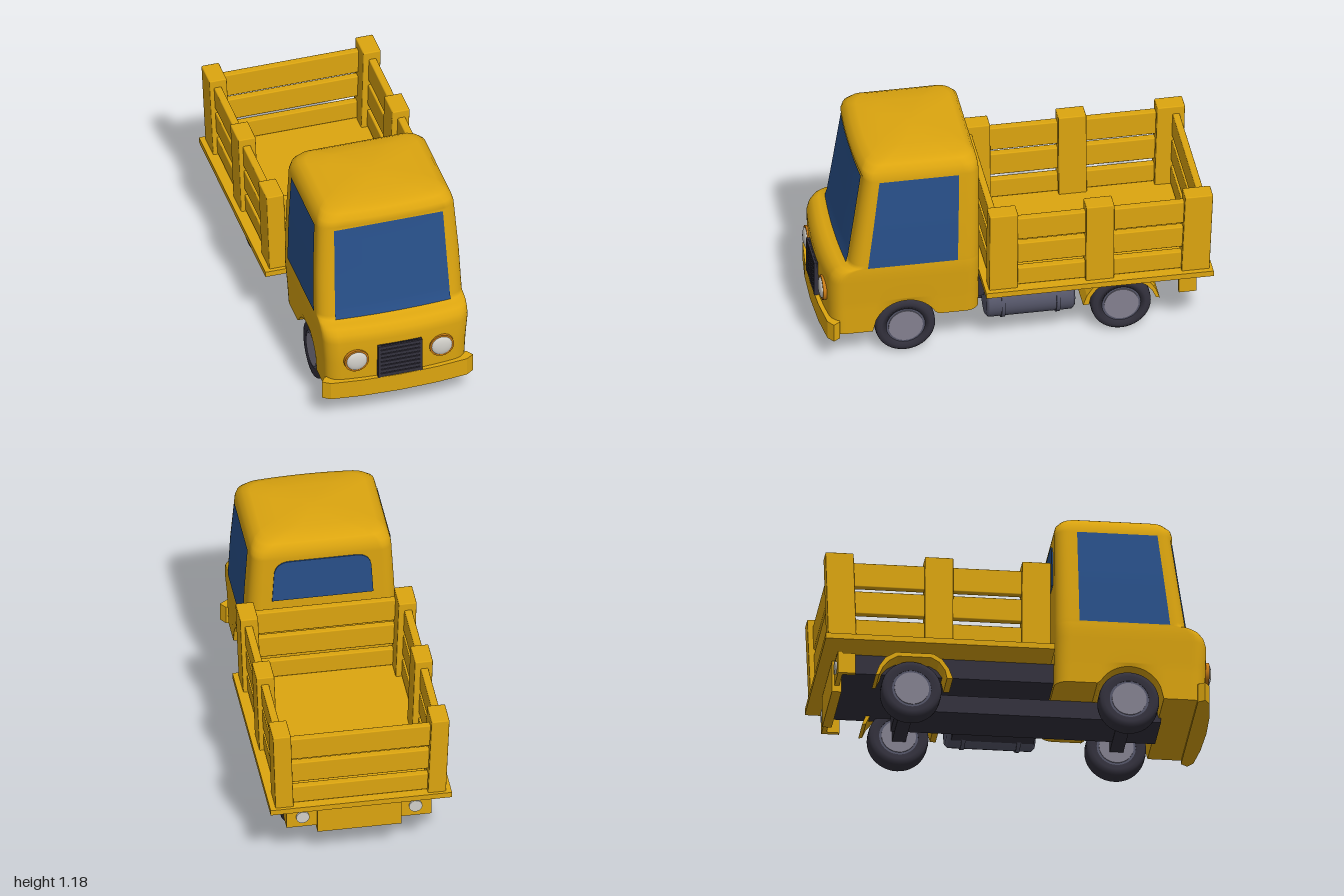
import * as THREE from 'three';
import { RoundedBoxGeometry } from 'three/addons/geometries/RoundedBoxGeometry.js';

const mat = (name, color, side = THREE.FrontSide) => {
  const m = new THREE.MeshStandardMaterial({ color, side });
  m.name = name;
  return m;
};
const { lerp, clamp } = THREE.MathUtils;

// Cab cross-sections: height, front z, back z, half width, corner radius, front bulge
const SECTIONS = [
  [0.15, 0.972, 0.185, 0.365, 0.07, 0.03], [0.34, 0.978, 0.185, 0.372, 0.07, 0.03],
  [0.47, 0.98, 0.185, 0.383, 0.07, 0.03], [0.51, 0.968, 0.185, 0.385, 0.07, 0.03],
  [0.537, 0.945, 0.185, 0.385, 0.07, 0.028], [0.55, 0.915, 0.185, 0.384, 0.07, 0.025],
  [0.555, 0.875, 0.185, 0.384, 0.07, 0.02], [0.575, 0.866, 0.185, 0.384, 0.07, 0.02],
  [0.8, 0.832, 0.185, 0.378, 0.065, 0.02], [1.065, 0.794, 0.185, 0.362, 0.06, 0.02],
  [1.085, 0.802, 0.186, 0.36, 0.07, 0.02], [1.115, 0.795, 0.192, 0.352, 0.07, 0.02],
  [1.145, 0.772, 0.21, 0.33, 0.08, 0.02], [1.162, 0.735, 0.24, 0.295, 0.08, 0.02],
  [1.172, 0.65, 0.31, 0.2, 0.08, 0.02], [1.178, 0.56, 0.4, 0.1, 0.05, 0.01],
];
function section(y) {
  let i = 0;
  while (i < SECTIONS.length - 2 && y > SECTIONS[i + 1][0]) i++;
  const a = SECTIONS[i], b = SECTIONS[i + 1];
  const t = clamp((y - a[0]) / (b[0] - a[0]), 0, 1);
  return a.map((v, k) => lerp(v, b[k], t));
}
const frontZ = (x, y) => { const s = section(y); return s[1] - s[5] * (x / s[3]) ** 2; };

// Half outline of a section, from front centre round the +x side to back centre
function halfOutline([, zf, zb, w, r, bulge]) {
  const p = [];
  for (let i = 0; i < 6; i++) p.push([(w - r) * i / 6, zf]);
  for (let i = 0; i < 6; i++) {
    const a = Math.PI / 2 * i / 6;
    p.push([w - r + r * Math.sin(a), zf - r + r * Math.cos(a)]);
  }
  for (let i = 0; i < 36; i++) p.push([w, lerp(zf - r, zb + r, i / 36)]);
  for (let i = 0; i < 6; i++) {
    const a = Math.PI / 2 * i / 6;
    p.push([w - r + r * Math.cos(a), zb + r - r * Math.sin(a)]);
  }
  for (let i = 0; i <= 4; i++) p.push([(w - r) * (1 - i / 4), zb]);
  return p.map(([x, z]) => [x, z - bulge * (x / w) ** 2 * ((z - zb) / (zf - zb)) ** 8]);
}
// Lower edge of the cab with the wheel arch
function sillY(z) {
  const dz = z - 0.565, base = lerp(0.225, 0.155, clamp(dz / 0.1 + 0.5, 0, 1));
  return Math.max(base, Math.abs(dz) < 0.17 ? 0.155 + Math.sqrt(0.17 ** 2 - dz * dz) : 0);
}
function meshGeometry(pos, idx) {
  const g = new THREE.BufferGeometry();
  g.setAttribute('position', new THREE.Float32BufferAttribute(pos, 3));
  g.setIndex(idx);
  return g;
}
function cabShell() {
  const pos = [], idx = [], rows = [];
  const addRow = (s, yAt) => {
    const h = halfOutline(s);
    const full = h.concat(h.slice(1, -1).reverse().map(([x, z]) => [-x, z]));
    full.forEach(([x, z]) => pos.push(x, yAt(z), z));
    rows.push(full.length);
  };
  for (let k = 0; k < 4; k++) addRow(section(0.15 + 0.05 * k), z => lerp(sillY(z), 0.345, k / 4));
  addRow(section(0.345), () => 0.345);
  SECTIONS.slice(2).forEach(s => addRow(s, () => s[0]));
  const n = rows[0], top = n * (rows.length - 1);
  for (let r = 0; r < rows.length - 1; r++) for (let i = 0; i < n; i++) {
    const a = r * n + i, b = r * n + (i + 1) % n;
    idx.push(a, b, b + n, a, b + n, a + n);
  }
  pos.push(0, 1.18, 0.48);
  for (let i = 0; i < n; i++) idx.push(top + i, top + (i + 1) % n, n * rows.length);
  const g = meshGeometry(pos, idx);
  g.computeVertexNormals();
  return g;
}
function cabFloor() {
  const pos = [], idx = [], h = halfOutline(section(0.15));
  h.forEach(([x, z]) => pos.push(x, sillY(z), z, -x, sillY(z), z));
  for (let i = 0; i < h.length - 1; i++) {
    const a = 2 * i, d = a + 1, b = a + 2, c = a + 3;
    idx.push(a, d, c, a, c, b);
  }
  const g = meshGeometry(pos, idx).toNonIndexed();
  g.computeVertexNormals();
  return g;
}
// Thin pane laid over the cab surface
function pane(place) {
  const g = new THREE.PlaneGeometry(1, 1, 14, 14), p = g.attributes.position;
  for (let i = 0; i < p.count; i++) p.setXYZ(i, ...place(p.getX(i) + 0.5, p.getY(i) + 0.5));
  g.computeVertexNormals();
  return g;
}

export function createModel() {
  const truck = new THREE.Group();
  truck.name = 'truck';
  const yellow = mat('yellow paint', 0xdca50f), glass = mat('blue glass', 0x28508a, THREE.DoubleSide);
  const dark = mat('dark rubber', 0x33313d), steel = mat('blue grey steel', 0x56576a);
  const hubGrey = mat('hub grey', 0x83808f), lamp = mat('lamp white', 0xd2d0ca);
  const orange = mat('lamp rim orange', 0xc87a14), black = mat('grille gap', 0x22212a);
  const add = (name, geo, m, x = 0, y = 0, z = 0) => {
    const mesh = new THREE.Mesh(geo, m);
    mesh.name = name;
    mesh.position.set(x, y, z);
    truck.add(mesh);
    return mesh;
  };
  // Box given by its limits
  const box = (name, m, x0, x1, y0, y1, z0, z1) => add(name, new THREE.BoxGeometry(x1 - x0, y1 - y0, z1 - z0),
    m, (x0 + x1) / 2, (y0 + y1) / 2, (z0 + z1) / 2);
  // Softened board that leans outwards with height above the deck
  const board = (name, x0, x1, y0, y1, z0, z1, leanX, leanZ) => {
    const g = new RoundedBoxGeometry(x1 - x0, y1 - y0, z1 - z0, 1, 0.006);
    g.translate((x0 + x1) / 2, (y0 + y1) / 2, (z0 + z1) / 2);
    const p = g.attributes.position;
    for (let i = 0; i < p.count; i++) {
      const h = p.getY(i) - 0.38;
      p.setX(i, p.getX(i) + leanX * h);
      p.setZ(i, p.getZ(i) + leanZ * h);
    }
    return add(name, g, yellow);
  };

  // Cab and windows
  add('cab', cabShell(), yellow);
  add('cabFloor', cabFloor(), yellow);
  add('windshield', pane((u, v) => {
    const y = lerp(0.558, 1.063 + 0.01 * (1 - (2 * u - 1) ** 2), v);
    const x = lerp(0.305, 0.288, v) * (2 * u - 1);
    return [x, y, frontZ(x, Math.min(y, 1.066)) + 0.006];
  }), glass);
  for (const s of [1, -1]) add('sideWindow', pane((u, v) => {
    const y = lerp(0.558, 1.063, v);
    return [s * (section(y)[3] + 0.005), y, lerp(lerp(0.768, 0.705, v), lerp(0.305, 0.295, v), u)];
  }), glass);
  const rear = new THREE.Shape();
  rear.moveTo(-0.26, 0.81).lineTo(0.26, 0.81).lineTo(0.25, 0.98);
  rear.quadraticCurveTo(0.24, 1.05, 0.17, 1.05).lineTo(-0.17, 1.05);
  rear.quadraticCurveTo(-0.24, 1.05, -0.25, 0.98);
  add('rearWindow', new THREE.ExtrudeGeometry(rear, { depth: 0.008, bevelEnabled: false }), glass, 0, 0, 0.179);

  // Front bumper, swept back at the ends
  const half = [[0.375, 0.91], [0.4, 0.945], [0.36, 0.972], [0.2, 0.99], [0, 0.997]];
  const outline = half.concat(half.slice(0, -1).reverse().map(([x, z]) => [-x, z]));
  const bumper = new THREE.ExtrudeGeometry(new THREE.Shape(outline.map(([x, z]) => new THREE.Vector2(x, -z))),
    { depth: 0.1, bevelEnabled: false });
  bumper.rotateX(-Math.PI / 2);
  add('frontBumper', bumper, yellow, 0, 0.14, 0);

  // Grille and headlights
  box('grille', black, -0.116, 0.116, 0.24, 0.436, 0.95, 0.987);
  for (let i = 0; i < 8; i++) box('grilleBar', dark, -0.116, 0.116, 0.243 + i * 0.0245, 0.262 + i * 0.0245, 0.98, 0.996);
  for (const s of [1, -1]) {
    box('grilleSide', dark, s * 0.11 - 0.006, s * 0.11 + 0.006, 0.24, 0.436, 0.97, 0.997);
    const rim = new THREE.CylinderGeometry(0.064, 0.066, 0.04, 32).rotateX(Math.PI / 2);
    add('headlightRim', rim, orange, s * 0.225, 0.36, 0.96);
    const lens = new THREE.SphereGeometry(0.055, 24, 10, 0, Math.PI * 2, 0, Math.PI / 2).rotateX(Math.PI / 2);
    add('headlight', lens, lamp, s * 0.225, 0.36, 0.978).scale.z = 0.3;
  }

  // Chassis
  box('chassisBeam', dark, -0.13, 0.13, 0.13, 0.225, -0.6, 0.75);
  box('deckFrame', dark, -0.28, 0.28, 0.25, 0.357, -0.92, 0.2);
  box('tankMount', dark, 0.1, 0.24, 0.14, 0.3, -0.28, 0.14);

  // Wheels, axles and rear fenders
  const tyre = new THREE.LatheGeometry([[0.1, -0.05], [0.125, -0.055], [0.143, -0.051], [0.153, -0.04], [0.155, -0.02],
    [0.155, 0.02], [0.153, 0.04], [0.143, 0.051], [0.125, 0.055], [0.1, 0.05], [0.1, -0.05]]
    .map(p => new THREE.Vector2(...p)), 40).rotateZ(-Math.PI / 2);
  const fenderPath = [[-0.34, 0.2], [-0.36, 0.255], [-0.395, 0.305], [-0.44, 0.333], [-0.63, 0.333], [-0.685, 0.3],
    [-0.715, 0.255], [-0.735, 0.2], [-0.715, 0.205], [-0.695, 0.25], [-0.665, 0.285], [-0.62, 0.311], [-0.45, 0.311],
    [-0.41, 0.288], [-0.38, 0.245], [-0.37, 0.2]];
  const fender = new THREE.ExtrudeGeometry(new THREE.Shape(fenderPath.map(([z, y]) => new THREE.Vector2(-z, y))),
    { depth: 0.17, bevelEnabled: false }).rotateY(Math.PI / 2);
  for (const z of [0.565, -0.545]) {
    box('axle', dark, -0.26, 0.26, 0.125, 0.185, z - 0.035, z + 0.035);
    for (const s of [1, -1]) {
      add('tyre', tyre, dark, s * 0.29, 0.155, z);
      add('hubRing', new THREE.CylinderGeometry(0.108, 0.108, 0.096, 32).rotateZ(Math.PI / 2), steel, s * 0.29, 0.155, z);
      add('hubCap', new THREE.CylinderGeometry(0.088, 0.088, 0.106, 32).rotateZ(Math.PI / 2), hubGrey, s * 0.29, 0.155, z);
    }
  }
  for (const s of [1, -1]) add('rearFender', fender, yellow, s > 0 ? 0.215 : -0.385);

  // Fuel tank with two straps
  const tank = new THREE.LatheGeometry([[0, -0.228], [0.085, -0.228], [0.1, -0.213], [0.1, 0.213], [0.085, 0.228], [0, 0.228]]
    .map(p => new THREE.Vector2(...p)), 28).rotateX(Math.PI / 2);
  add('fuelTank', tank, steel, 0.27, 0.228, -0.077);
  for (const z of [0.065, -0.217])
    add('tankStrap', new THREE.CylinderGeometry(0.107, 0.107, 0.02, 28).rotateX(Math.PI / 2), steel, 0.27, 0.228, z);

  // Cargo deck, posts and slats
  box('cargoDeck', yellow, -0.466, 0.466, 0.355, 0.385, -0.998, 0.172);
  for (const s of [1, -1]) {
    for (const [z0, z1, lean] of [[0.005, 0.152, 0], [-0.49, -0.345, 0], [-0.982, -0.838, -0.035]]) {
      const [a, b] = [s * 0.345, s * 0.438].sort((p, q) => p - q);
      board('cargoPost', a, b, 0.38, 0.842, z0, z1, s * 0.035, lean);
    }
  }
  for (const [y0, y1] of [[0.388, 0.49], [0.522, 0.645], [0.67, 0.8]]) {
    for (const s of [1, -1]) {
      const [a, b] = [s * 0.375, s * 0.415].sort((p, q) => p - q);
      board('sideSlat', a, b, y0, y1, -0.93, 0.1, s * 0.035, 0);
    }
    board('tailSlat', -0.38, 0.38, y0, y1, -0.955, -0.918, 0, -0.035);
    board('frontSlat', -0.38, 0.38, y0, y1, 0.1, 0.135, 0, 0);
  }

  // Rear bumper, plate and lamps
  box('rearPanel', yellow, -0.37, 0.37, 0.21, 0.33, -0.925, -0.9);
  box('rearPlate', yellow, -0.215, 0.215, 0.175, 0.345, -0.938, -0.89);
  for (const s of [1, -1]) {
    box('rearPanelEnd', yellow, s * 0.36 - 0.012, s * 0.36 + 0.012, 0.21, 0.32, -0.925, -0.835);
    add('rearLamp', new THREE.CylinderGeometry(0.034, 0.034, 0.02, 24).rotateX(Math.PI / 2), lamp, s * 0.29, 0.272, -0.925);
  }
  return truck;
}
